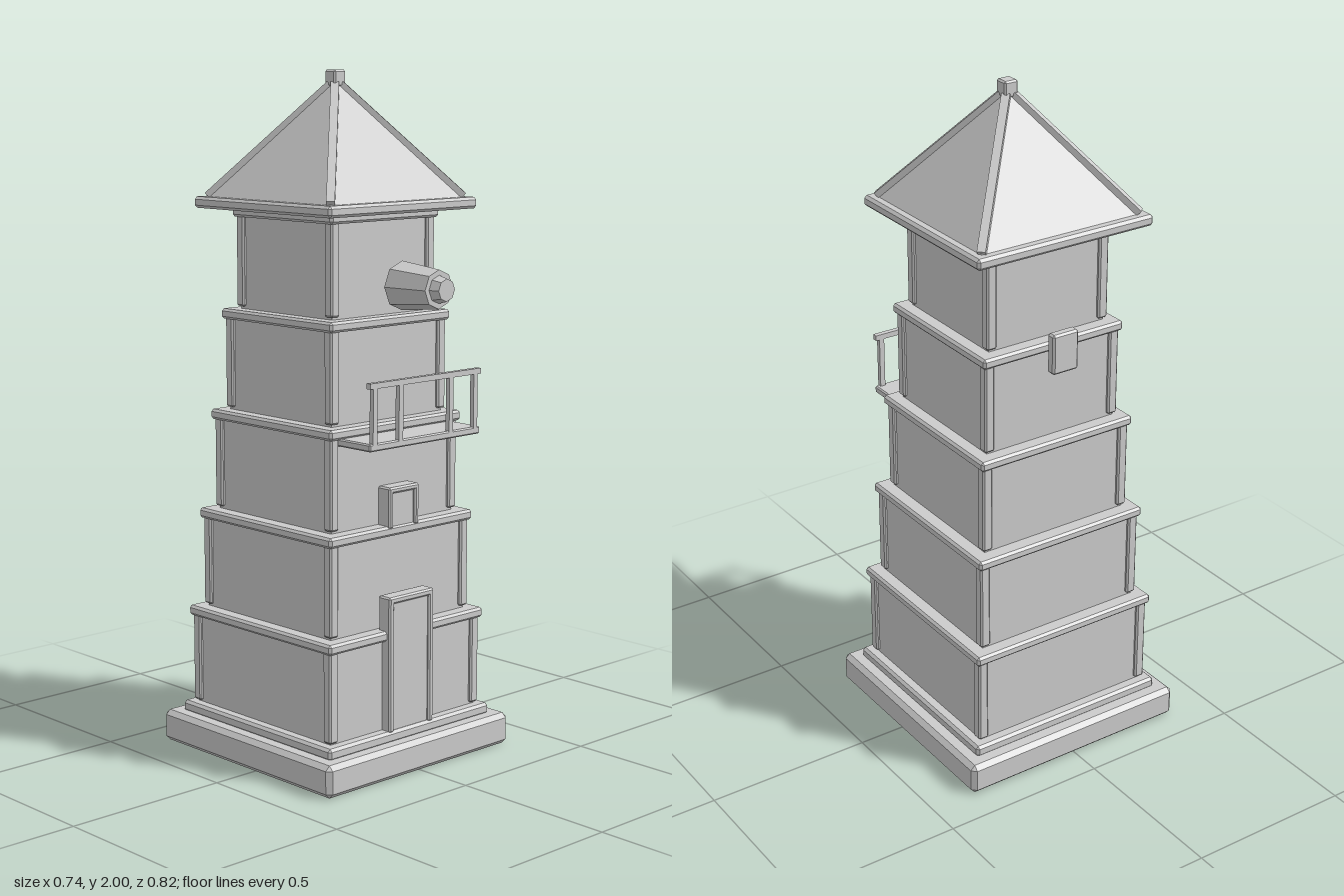
import * as THREE from 'three';
import { ConvexGeometry } from 'three/addons/geometries/ConvexGeometry.js';

const stone = new THREE.MeshStandardMaterial({ color: 0xcccccc });
stone.name = 'pale grey stone';

const CZ = -0.04; // tower axis in z

// box with chamfered edges, c = chamfer size
function chamferBox(w, h, d, c) {
  const pts = [];
  for (const sx of [-1, 1]) for (const sy of [-1, 1]) for (const sz of [-1, 1]) {
    const x = w / 2, y = h / 2, z = d / 2;
    pts.push(
      new THREE.Vector3(sx * x, sy * (y - c), sz * (z - c)),
      new THREE.Vector3(sx * (x - c), sy * y, sz * (z - c)),
      new THREE.Vector3(sx * (x - c), sy * (y - c), sz * z));
  }
  return new ConvexGeometry(pts);
}

export function createModel() {
  const model = new THREE.Group();
  model.name = 'tower';

  function add(name, geometry, x, y, z, parent = model) {
    const mesh = new THREE.Mesh(geometry, stone);
    mesh.name = name;
    mesh.position.set(x, y, z);
    parent.add(mesh);
    return mesh;
  }
  // box given by its extents
  function block(name, x0, x1, y0, y1, z0, z1, c = 0, parent = model) {
    const w = x1 - x0, h = y1 - y0, d = z1 - z0;
    const g = c ? chamferBox(w, h, d, c) : new THREE.BoxGeometry(w, h, d);
    return add(name, g, (x0 + x1) / 2, (y0 + y1) / 2, (z0 + z1) / 2, parent);
  }
  // square slab around the tower axis
  const slab = (name, half, y0, y1, c, parent) =>
    block(name, -half, half, y0, y1, CZ - half, CZ + half, c, parent);
  function group(name) {
    const g = new THREE.Group();
    g.name = name;
    model.add(g);
    return g;
  }

  // stepped base
  slab('base', 0.368, 0, 0.095, 0.014);
  slab('plinth', 0.325, 0.09, 0.125, 0.008);

  // five shrinking storeys: wall, corner posts, ledge
  const halves = [0.302, 0.278, 0.252, 0.228, 0.204];
  halves.forEach((h, i) => {
    const storey = group('storey' + (i + 1));
    const y0 = 0.12 + i * 0.2975, y1 = 0.395 + i * 0.2975;
    slab('wall', h - 0.01, y0, y1, 0, storey);
    for (const sx of [-1, 1]) for (const sz of [-1, 1]) {
      add('cornerPost', chamferBox(0.032, y1 - y0 - 0.01, 0.032, 0.005),
        sx * (h - 0.016), (y0 + y1) / 2 + 0.005, CZ + sz * (h - 0.016), storey);
    }
    slab('ledge', h + 0.009, y1 - 0.005, y1 + 0.025, 0.007, storey);
  });

  // roof: eave, pyramid, hip beams and finial
  const roof = group('roof');
  slab('eave', 0.291, 1.605, 1.638, 0.008, roof);
  const pyramid = new THREE.CylinderGeometry(0.015 * Math.SQRT2, 0.265 * Math.SQRT2, 0.322, 4, 1)
    .rotateY(Math.PI / 4).toNonIndexed();
  pyramid.computeVertexNormals();
  add('roofPyramid', pyramid, 0, 1.797, CZ, roof);
  for (const sx of [-1, 1]) for (const sz of [-1, 1]) {
    const foot = new THREE.Vector3(sx * 0.262, 1.642, CZ + sz * 0.262);
    const top = new THREE.Vector3(sx * 0.012, 1.96, CZ + sz * 0.012);
    const beam = add('hipBeam', new THREE.BoxGeometry(0.024, 0.018, foot.distanceTo(top)), 0, 0, 0, roof);
    beam.position.copy(foot).lerp(top, 0.5);
    beam.lookAt(top);
  }
  slab('finial', 0.022, 1.952, 2, 0.005, roof);

  // framed openings on the front: recessed panel, jambs and lintel
  function opening(name, half, y0, y1, z0, z1, t) {
    const g = group(name);
    block('panel', -half + t / 2, half - t / 2, y0, y1 - t / 2, z0, z1 - 0.008, 0, g);
    for (const s of [-1, 1]) {
      const x = s * (half - t / 2);
      block('jamb', x - t / 2, x + t / 2, y0, y1 - 0.006, z0, z1, 0.005, g);
    }
    block('lintel', -half, half, y1 - t, y1, z0, z1, 0.005, g);
  }
  opening('door', 0.09, 0.12, 0.52, 0.235, 0.283, 0.02);
  opening('window', 0.06, 0.71, 0.83, 0.2, 0.25, 0.018);

  // plaque behind the tower
  block('backPlaque', -0.043, 0.043, 1.235, 1.355, -0.328, -0.297, 0.006);

  // balcony with railing
  const balcony = group('balcony');
  block('balconyFloor', -0.22, 0.22, 0.965, 0.987, 0.18, 0.335, 0.004, balcony);
  block('handrail', -0.22, 0.22, 1.14, 1.156, 0.32, 0.336, 0, balcony);
  for (const x of [-0.2, -0.1, 0.1, 0.2]) {
    block('railPost', x - 0.008, x + 0.008, 0.98, 1.145, 0.321, 0.335, 0, balcony);
  }

  // octagonal lamp pointing forward
  const lamp = group('lamp');
  const cone = (name, rFront, rBack, z0, z1) => {
    const g = new THREE.CylinderGeometry(rFront, rBack, z1 - z0, 8).rotateX(Math.PI / 2).toNonIndexed();
    g.computeVertexNormals();
    add(name, g, 0, 1.402, (z0 + z1) / 2, lamp);
  };
  cone('lampHousing', 0.055, 0.07, 0.235, 0.38);
  cone('lampNozzle', 0.032, 0.041, 0.375, 0.41);

  return model;
}
